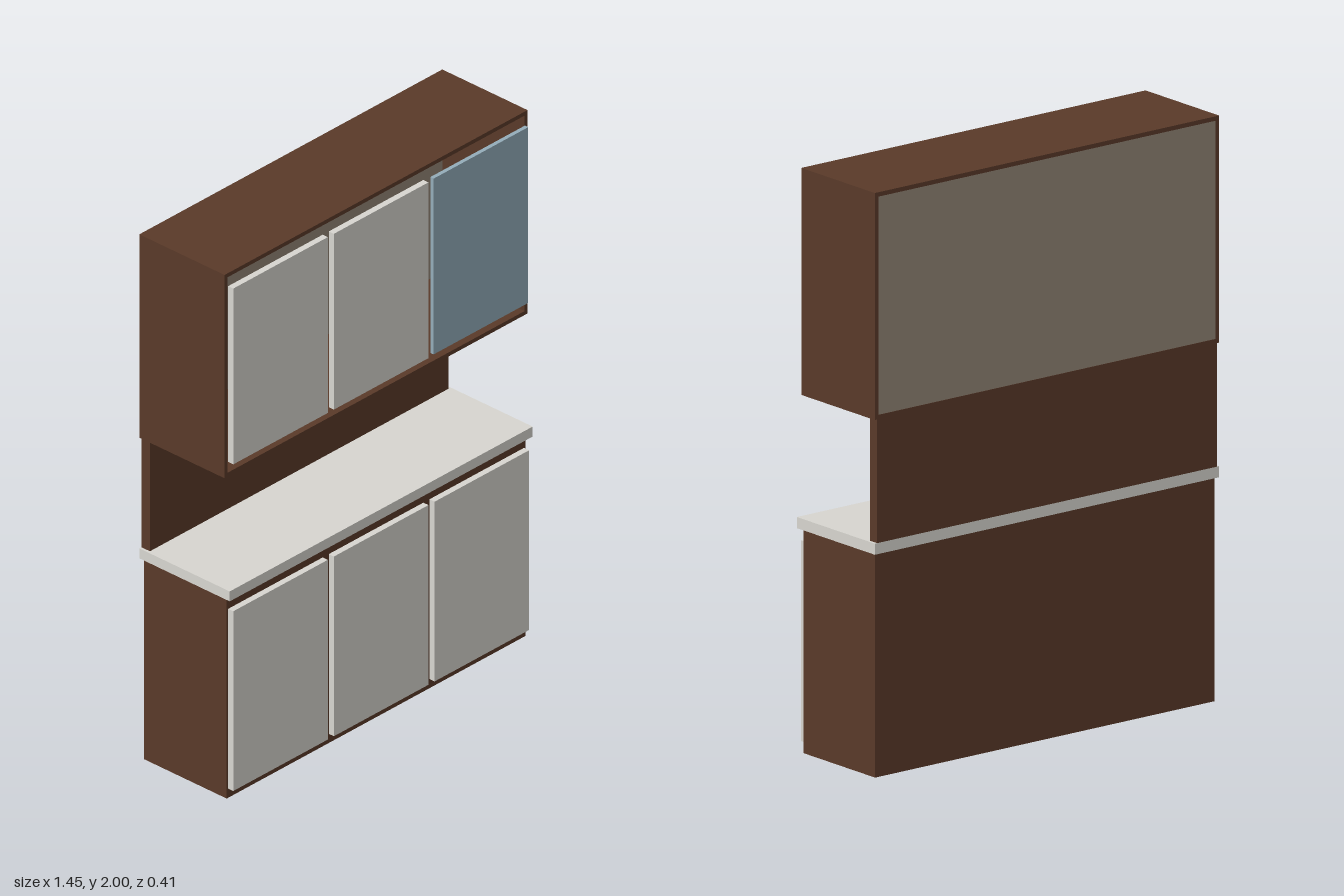
import * as THREE from 'three';

const material = (color) => new THREE.MeshStandardMaterial({ color });

export function createModel() {
  const model = new THREE.Group();
  const wood = material(0x5a3a29);
  const backing = material(0x938576);
  const white = material(0xd8d6d0);
  const glass = material(0x94adba);

  // Box given by its minimum and maximum corners
  function panel(name, mat, [x0, y0, z0], [x1, y1, z1], parent = model) {
    const mesh = new THREE.Mesh(new THREE.BoxGeometry(x1 - x0, y1 - y0, z1 - z0), mat);
    mesh.position.set((x0 + x1) / 2, (y0 + y1) / 2, (z0 + z1) / 2);
    mesh.name = name;
    parent.add(mesh);
  }

  const back = -0.203, front = 0.18, doorFront = 0.203;

  // Base cabinet, worktop and splashback
  panel('baseCabinet', wood, [-0.717, 0, -0.192], [0.717, 0.765, front]);
  panel('worktop', white, [-0.727, 0.765, back], [0.727, 0.803, doorFront]);
  panel('splashback', wood, [-0.717, 0.803, back], [0.717, 1.225, -0.165]);

  // Open-fronted wall cabinet
  const wall = new THREE.Group();
  wall.name = 'wallCabinet';
  model.add(wall);
  const w = 0.727, t = 0.015, bottom = 1.225, top = 2;
  for (const [name, x] of [['rightSide', -w], ['leftSide', w - t]]) {
    panel(name, wood, [x, bottom, back], [x + t, top, front], wall);
  }
  for (const [name, y] of [['cabinetBottom', bottom], ['cabinetTop', top - t]]) {
    panel(name, wood, [-w + t, y, back], [w - t, y + t, front], wall);
  }
  panel('backPanel', backing, [-w + t, bottom + t, back + 0.001], [w - t, top - t, back + 0.014], wall);

  // Three doors on each cabinet, the upper left one glazed
  [-0.483, 0, 0.483].forEach((x, i) => {
    const x0 = x - 0.227, x1 = x + 0.227;
    panel('baseDoor', white, [x0, 0.035, front], [x1, 0.72, doorFront]);
    if (i < 2) panel('wallDoor', white, [x0, 1.28, front], [x1, 1.95, doorFront]);
    else panel('glassDoor', glass, [x0, 1.28, 0.184], [x1, 1.95, 0.199]);
  });

  return model;
}
